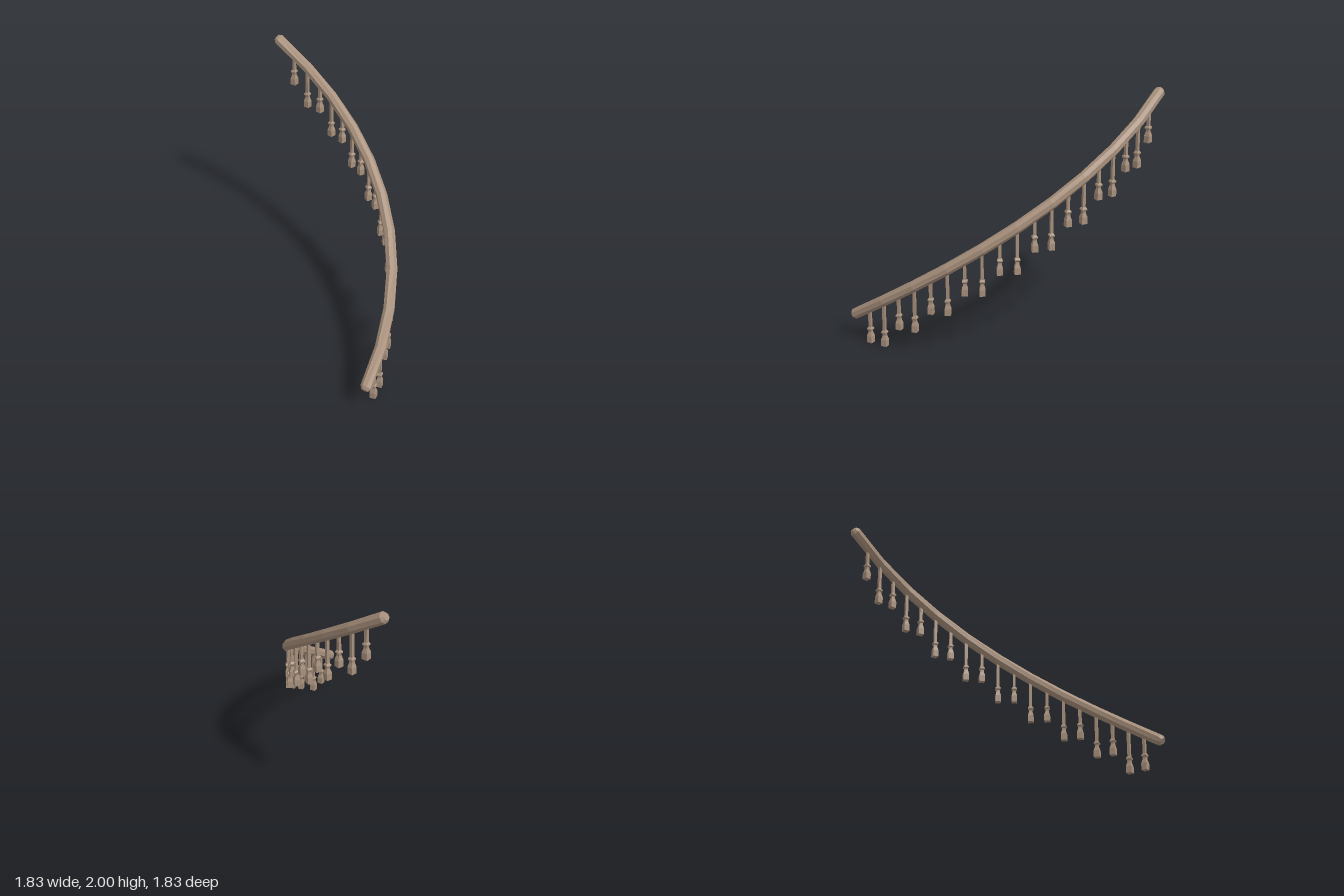
import * as THREE from 'three';

const R = 1.74, C = 0.875;          // plan radius and centre offset of the quarter turn
const TOP = 1.955, RISE = 1.73;     // rail height at the upper end and total drop
const SEGMENTS = 10, BALUSTERS = 19;
const QUARTER = Math.PI / 2;

const wood = new THREE.MeshStandardMaterial({ color: 0xa8907c, flatShading: true });

// Point on the rail's centre line, t = 0 (upper end) to 1 (lower end)
function railPoint(t) {
  const a = t * QUARTER;
  return new THREE.Vector3(-C + R * Math.sin(a), TOP - RISE * t, C - R * Math.cos(a));
}

// Octagonal rail lofted along the helix, with chamfered closed ends
function railGeometry() {
  const sides = 8, radius = 0.043 / Math.cos(Math.PI / 8);
  const rings = [[0, 0, -0.04], [0, 0.6, -0.04], [0, 1, -0.015]];
  for (let i = 1; i < SEGMENTS; i++) rings.push([i / SEGMENTS, 1, 0]);
  rings.push([1, 1, 0.015], [1, 0.6, 0.04], [1, 0, 0.04]);

  const positions = [], index = [];
  rings.forEach(([t, scale, shift], i) => {
    const a = t * QUARTER;
    const out = new THREE.Vector3(Math.sin(a), 0, -Math.cos(a));
    const along = new THREE.Vector3(R * Math.cos(a), -RISE / QUARTER, R * Math.sin(a)).normalize();
    const up = new THREE.Vector3().crossVectors(along, out);
    const centre = railPoint(t).addScaledVector(along, shift);
    for (let j = 0; j < sides; j++) {
      const b = (j + 0.5) / sides * Math.PI * 2;
      const p = centre.clone()
        .addScaledVector(out, Math.cos(b) * radius * scale)
        .addScaledVector(up, Math.sin(b) * radius * scale);
      positions.push(p.x, p.y, p.z);
      if (i < rings.length - 1) {
        const k = (j + 1) % sides, m = i * sides, n = m + sides;
        index.push(m + j, m + k, n + k, m + j, n + k, n + j);
      }
    }
  });
  const indexed = new THREE.BufferGeometry();
  indexed.setAttribute('position', new THREE.Float32BufferAttribute(positions, 3));
  indexed.setIndex(index);
  const geometry = indexed.toNonIndexed();
  geometry.computeVertexNormals();
  return geometry;
}

// Square turned post: flared foot, neck, collar and slim shaft
function balusterGeometry(height) {
  const profile = [
    [0, 0], [0.0235, 0], [0.0235, 0.055], [0.014, 0.09], [0.014, 0.105],
    [0.0215, 0.115], [0.0215, 0.125], [0.012, 0.138], [0.0115, height],
  ].map(([half, y]) => new THREE.Vector2(half * Math.SQRT2, y));
  return new THREE.LatheGeometry(profile, 4, Math.PI / 4).toNonIndexed();
}

export function createModel() {
  const model = new THREE.Group();
  model.name = 'curvedStairRailing';

  const rail = new THREE.Mesh(railGeometry(), wood);
  rail.name = 'handrail';
  model.add(rail);

  // Two balusters per stair tread, counted from the bottom
  const balusters = new THREE.Group();
  balusters.name = 'balusters';
  for (let i = 0; i < BALUSTERS; i++) {
    const t = 1 - (i + 1) / (BALUSTERS + 1);
    const foot = Math.floor(i / 2) * 0.1755;
    const p = railPoint(t);
    const post = new THREE.Mesh(balusterGeometry(p.y - 0.02 - foot), wood);
    post.name = 'baluster';
    post.position.set(p.x, foot, p.z);
    post.rotation.y = -t * QUARTER;
    balusters.add(post);
  }
  model.add(balusters);
  return model;
}
